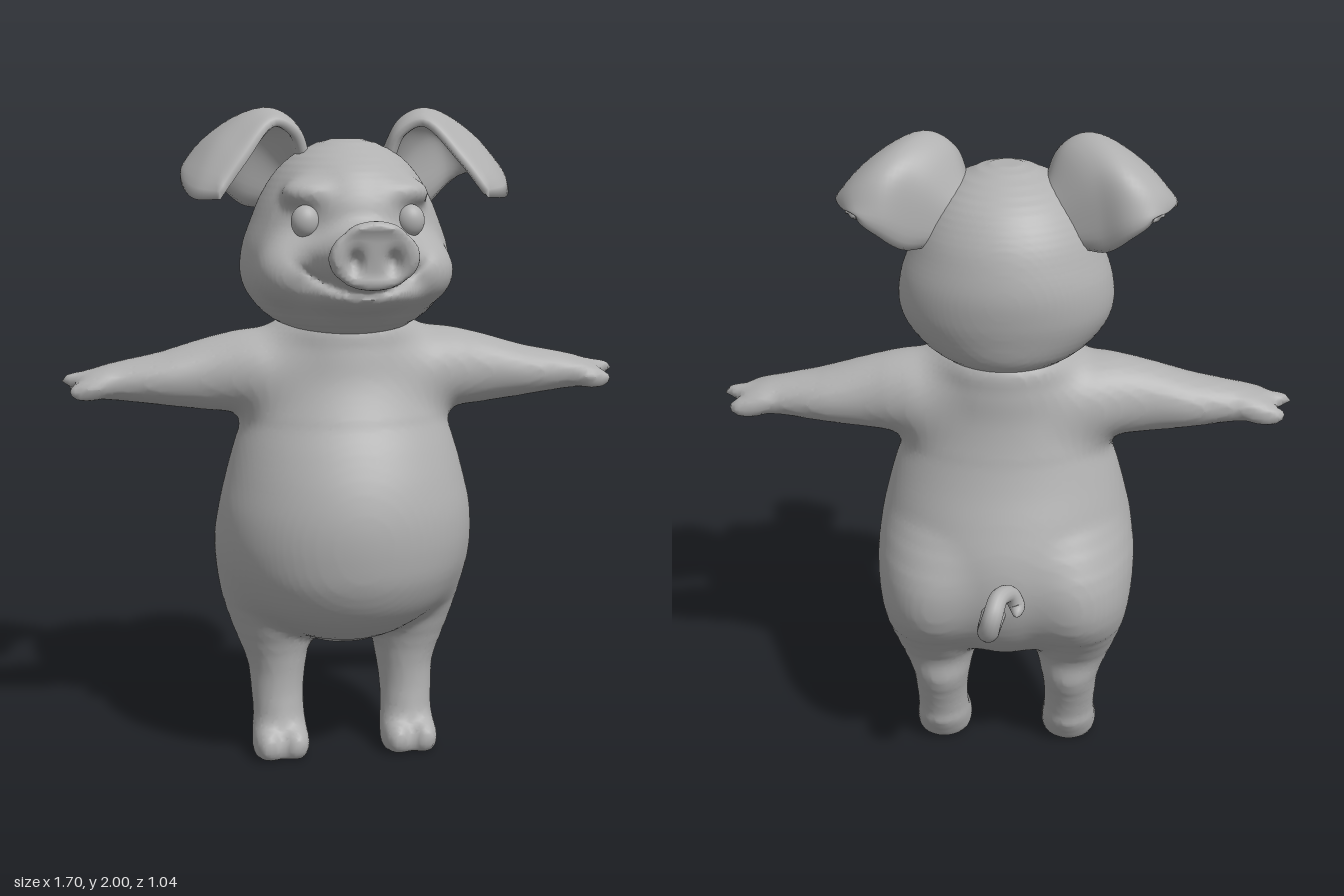
import * as THREE from 'three';
import { mergeVertices } from 'three/addons/utils/BufferGeometryUtils.js';

const skin = new THREE.MeshStandardMaterial({ color: 0xb0b0b0 });
skin.name = 'grey skin';

function indexed(pos, idx) {
  const g = new THREE.BufferGeometry();
  g.setAttribute('position', new THREE.Float32BufferAttribute(pos, 3));
  g.setIndex(idx);
  return g;
}

// signed distance to an oval along a radius, negative inside
function oval(u, v, w, ru, rv, rw) {
  const q = Math.hypot(u / ru, v / rv, w / rw);
  return q < 0.01 ? -Math.min(ru, rv, rw) : Math.hypot(u, v, w) * (1 - 1 / q);
}

// field of a limb with oval sections: key = [along, centreU, centreV, radiusU, radiusV+, radiusV-]
function limb(keys) {
  const N = 200, n = keys.length - 1, t0 = keys[0][0], t1 = keys[n][0], table = [];
  const slope = (i, c) => {
    const a = keys[Math.max(0, i - 1)], b = keys[Math.min(n, i + 1)];
    return (b[c] - a[c]) / (b[0] - a[0]);
  };
  for (let s = 0, i = 0; s <= N; s++) {
    const t = t0 + (t1 - t0) * s / N;
    while (i < n - 1 && t > keys[i + 1][0]) i++;
    const a = keys[i], b = keys[i + 1], d = b[0] - a[0], x = (t - a[0]) / d;
    table.push(a.map((_, c) => {
      const e = b[c] - a[c], p = slope(i, c) * d - e, q = e - slope(i + 1, c) * d;
      const value = a[c] + e * x + x * (1 - x) * (p * (1 - x) + q * x);
      return c > 2 ? Math.max(0.002, value) : value;
    }));
  }
  return (t, u, v) => {
    const s = Math.round((t - t0) / (t1 - t0) * N), k = table[Math.max(0, Math.min(N, s))];
    const dv = v - k[2];
    return Math.max(oval(u - k[1], dv, 0, k[3], dv > 0 ? k[4] : k[5], 1), t0 - t, t - t1);
  };
}

// union with a soft fillet of width k
function blend(a, b, k) {
  const h = Math.max(k - Math.abs(a - b), 0) / k;
  return Math.min(a, b) - h * h * k / 4;
}

const bump = (a, b) => Math.exp(-a * a - b * b);

// surface of a field, one vertex in each crossed cell
function surface(field, lo, hi, h) {
  const n = lo.map((l, i) => Math.ceil((hi[i] - l) / h) + 1), step = [1, n[0], n[0] * n[1]];
  const val = new Float32Array(step[2] * n[2]), cell = new Int32Array(val.length).fill(-1);
  const pos = [], idx = [];
  const each = (start, end, fn) => {
    for (let z = start; z < n[2] - end; z++) for (let y = start; y < n[1] - end; y++)
      for (let x = start; x < n[0] - end; x++) fn(x, y, z, x + y * step[1] + z * step[2]);
  };
  each(0, 0, (x, y, z, o) => { val[o] = field(lo[0] + x * h, lo[1] + y * h, lo[2] + z * h); });
  each(0, 1, (x, y, z, o) => {
    const sum = [0, 0, 0];
    let count = 0;
    for (let a = 0; a < 3; a++) for (let c = 0; c < 4; c++) {
      const b = (a + 1) % 3, d = (a + 2) % 3, off = [0, 0, 0];
      off[b] = c & 1;
      off[d] = c >> 1;
      const p = o + off[b] * step[b] + off[d] * step[d], f = val[p], g = val[p + step[a]];
      if (f < 0 === g < 0) continue;
      off[a] = f / (f - g);
      off.forEach((w, i) => { sum[i] += w; });
      count++;
    }
    if (!count) return;
    cell[o] = pos.length / 3;
    [x, y, z].forEach((w, i) => pos.push(lo[i] + (w + sum[i] / count) * h));
  });
  each(1, 1, (x, y, z, o) => {
    for (let a = 0; a < 3; a++) {
      const inside = val[o] < 0, b = step[(a + 1) % 3], c = step[(a + 2) % 3];
      if (inside === val[o + step[a]] < 0) continue;
      const q = [cell[o - b - c], cell[o - c], cell[o], cell[o - b]];
      if (!inside) q.reverse();
      idx.push(q[0], q[1], q[2], q[0], q[2], q[3]);
    }
  });
  const g = indexed(pos, idx);
  g.computeVertexNormals();
  return g;
}

// torso, limbs, hooves and fingers, symmetric in x
function bodyGeometry() {
  const torso = limb([
    [.375, 0, 0, .08, .06, .1], [.39, 0, 0, .12, .11, .15], [.42, 0, 0, .19, .18, .21],
    [.5, 0, 0, .3, .285, .29], [.6, 0, 0, .36, .345, .34], [.7, 0, 0, .388, .363, .355],
    [.8, 0, 0, .388, .362, .343], [.9, 0, 0, .367, .34, .31], [1, 0, 0, .34, .3, .272],
    [1.1, 0, 0, .305, .25, .243], [1.2, 0, 0, .27, .21, .225], [1.3, 0, 0, .235, .19, .22],
    [1.38, 0, 0, .19, .17, .2], [1.41, 0, 0, .1, .1, .1]]);
  const leg = limb([
    [0, .205, .005, .078, .07, .08], [.025, .205, 0, .085, .085, .088],
    [.08, .205, -.02, .086, .088, .1], [.12, .205, -.035, .081, .09, .088], [.2, .207, -.055, .083, .095, .095],
    [.28, .206, -.07, .092, .11, .112], [.36, .212, -.075, .115, .13, .113], [.45, .212, -.08, .148, .17, .168],
    [.55, .205, -.08, .18, .22, .248], [.65, .2, -.08, .19, .25, .274], [.75, .19, -.08, .18, .23, .255],
    [.85, .17, -.08, .14, .16, .18], [.93, .16, -.08, .06, .06, .06]]);
  const arm = limb([
    [.05, -.01, 1.21, .13, .13, .15], [.15, -.01, 1.21, .15, .145, .165], [.25, -.01, 1.21, .15, .143, .15],
    [.33, -.01, 1.215, .128, .13, .12], [.42, -.01, 1.215, .108, .11, .108], [.55, -.01, 1.207, .1, .08, .083],
    [.68, -.008, 1.2, .08, .06, .058], [.74, -.008, 1.195, .088, .05, .046], [.785, -.008, 1.192, .078, .036, .036],
    [.8, -.008, 1.192, .06, .02, .02]]);
  return surface((sx, y, z) => {
    const x = Math.abs(sx);
    const toes = Math.min(oval(x - .162, y - .045, z - .038, .043, .056, .069),
      oval(x - .248, y - .045, z - .038, .043, .056, .069));
    const legs = blend(leg(y, x, z), toes, .025);
    const fingers = Math.min(oval(x - .785, y - 1.207, z + .008, .067, .026, .027),
      oval(x - .775, y - 1.18, z + .066, .058, .03, .03), oval(x - .775, y - 1.18, z - .05, .058, .03, .03));
    const arms = blend(arm(x, z, y), fingers, .015);
    return Math.max(-y, blend(blend(torso(y, x, z), legs, .06), arms, .06));
  }, [-.88, -.02, -.44], [.88, 1.45, .42], .0153);
}

// skull, snout, jaw and cheeks with pressed nostrils, sockets and smile
function headGeometry() {
  const skull = limb([
    [1.33, 0, 0, .1, .12, .13], [1.345, 0, 0, .155, .17, .18], [1.37, 0, 0, .2, .22, .213],
    [1.4, 0, 0, .245, .262, .235], [1.46, 0, 0, .295, .3, .253], [1.52, 0, 0, .315, .314, .266],
    [1.6, 0, 0, .308, .308, .272], [1.68, 0, 0, .28, .3, .258], [1.75, 0, 0, .25, .284, .233],
    [1.82, 0, .01, .205, .23, .195], [1.87, 0, .025, .15, .15, .145], [1.9, 0, .03, .09, .09, .09],
    [1.913, 0, .03, .05, .05, .05]]);
  const snout = limb([
    [.15, 0, 1.55, .22, .14, .14], [.28, 0, 1.57, .175, .108, .108], [.35, 0, 1.58, .136, .088, .09],
    [.42, 0, 1.587, .11, .079, .082], [.47, 0, 1.598, .119, .088, .09], [.5, 0, 1.602, .128, .097, .096],
    [.515, 0, 1.603, .12, .09, .09], [.522, 0, 1.603, .107, .078, .078]]);
  return surface((sx, y, z) => {
    const x = Math.abs(sx);
    let f = blend(skull(y, x, z), oval(x - .19, y - 1.535, z - .2, .095, .09, .1), .06);
    f = blend(f, oval(x - .14, y - 1.76, z - .2, .07, .04, .06), .05);
    f = blend(f, oval(x, y - 1.475 - (z - .24) * .1, z - .24, .165, .065, .175), .05);
    f = blend(f, snout(z - (y - 1.6) * .1, x, y), .04);
    if (z > .2) f += .014 * bump((y - 1.488 - 2.2 * x * x) / .012, Math.pow(x / .175, 4));
    if (z > .15) f += .016 * bump((x - .152) / .055, (y - 1.685) / .055);
    if (z > .46) f += .035 * bump((x - .053) / .02, (y - 1.588) / .028)
      + .01 * bump(Math.pow(x / .095, 4), Math.pow((y - 1.603) / .068, 4));
    return f;
  }, [-.36, 1.3, -.32], [.36, 1.95, .58], .0102);
}

// thin drooping sheet, thick in the middle and closed at the rim
function earGeometry() {
  const ctrl = [
    [[.12, 1.83, .07], [.13, 1.86, -.02], [.16, 1.82, -.08], [.2, 1.71, -.11]],
    [[.15, 1.92, .09], [.18, 1.96, .01], [.25, 1.91, -.11], [.285, 1.71, -.15]],
    [[.215, 1.955, .11], [.245, 1.985, .02], [.33, 1.92, -.14], [.355, 1.765, -.19]],
    [[.31, 1.85, .175], [.37, 1.91, .04], [.42, 1.87, -.12], [.4, 1.8, -.19]],
    [[.39, 1.745, .205], [.46, 1.745, .15], [.488, 1.8, 0], [.425, 1.83, -.16]],
  ];
  const curve = pts => new THREE.CatmullRomCurve3(pts);
  const across = ctrl.map(r => curve(r.map(p => new THREE.Vector3(...p))));
  const point = (v, u) => curve(across.map(c => c.getPoint(u))).getPoint(v);
  const pos = [], idx = [], N = 28, W = 2 * N + 2, e = 0.01;
  for (let i = 0; i <= N; i++) {
    const v = i / N, top = [], under = [];
    for (let j = 0; j <= N; j++) {
      const u = j / N, p = point(v, u);
      const dv = point(Math.min(1, v + e), u).sub(point(Math.max(0, v - e), u));
      const du = point(v, Math.min(1, u + e)).sub(point(v, Math.max(0, u - e)));
      const rim = Math.min(1, Math.sqrt(Math.min(u, 1 - u, 1 - v) * 12));
      const off = dv.cross(du).normalize().multiplyScalar(0.018 * rim);
      top.push(p.clone().add(off));
      under.push(p.sub(off));
    }
    [...top, ...under.reverse()].forEach(p => pos.push(p.x, p.y, p.z));
    for (let j = 0; i < N && j < W - 1; j++) {
      const a = i * W + j, b = a + W;
      idx.push(a, b, a + 1, b, b + 1, a + 1);
    }
  }
  const g = mergeVertices(indexed(pos, idx), 1e-5);
  g.computeVertexNormals();
  return g;
}

// curled tail, tapered toward its tip
function tailGeometry() {
  const path = new THREE.CatmullRomCurve3([
    [.02, .65, -.31], [.035, .635, -.4], [.035, .66, -.467], [.022, .72, -.485], [.005, .758, -.445],
    [-.025, .745, -.4], [-.045, .705, -.395], [-.045, .685, -.43],
  ].map(p => new THREE.Vector3(...p)));
  const T = 60, R = 14, g = new THREE.TubeGeometry(path, T, 0.038, R), p = g.attributes.position;
  const v = new THREE.Vector3();
  for (let i = 0; i <= T; i++) {
    const t = i / T, c = path.getPointAt(t);
    const s = (1 - 0.4 * t) * Math.sqrt(Math.min(1, (1 - t) * 12));
    for (let j = 0; j <= R; j++) {
      const k = i * (R + 1) + j;
      v.fromBufferAttribute(p, k).sub(c).multiplyScalar(Math.max(s, 0.01)).add(c);
      p.setXYZ(k, v.x, v.y, v.z);
    }
  }
  g.computeVertexNormals();
  return g;
}

function mirrored(geo) {
  const g = geo.clone().scale(-1, 1, 1), ix = g.index.array;
  for (let i = 0; i < ix.length; i += 3) [ix[i], ix[i + 1]] = [ix[i + 1], ix[i]];
  g.computeVertexNormals();
  return g;
}

export function createModel() {
  const model = new THREE.Group();
  model.name = 'pig';
  const add = (name, geo) => {
    const m = new THREE.Mesh(geo, skin);
    m.name = name;
    model.add(m);
  };
  const pair = (name, geo) => {
    add('left ' + name, geo);
    add('right ' + name, mirrored(geo));
  };
  add('body', bodyGeometry());
  add('head', headGeometry());
  pair('eye', new THREE.SphereGeometry(1, 28, 20).scale(.042, .047, .036).translate(.152, 1.683, .24));
  pair('ear', earGeometry());
  add('tail', tailGeometry());
  return model;
}
